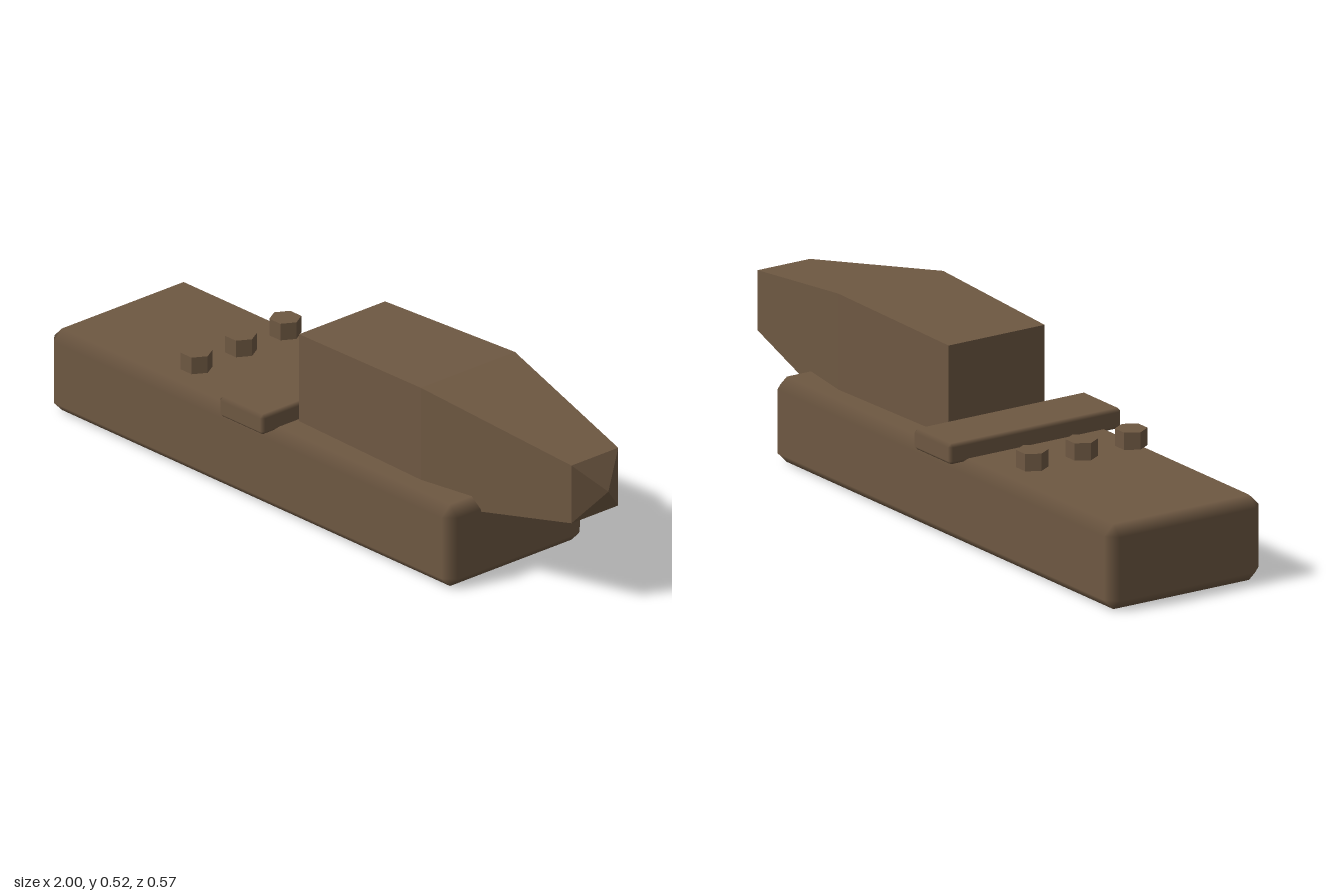
import * as THREE from 'three';
import { ConvexGeometry } from 'three/addons/geometries/ConvexGeometry.js';

// Box with chamfered edges; normals blend across the chamfers
function chamferBox(w, h, d, c) {
  const half = [w / 2, h / 2, d / 2];
  const points = [];
  for (let axis = 0; axis < 3; axis++) {
    for (const sx of [-1, 1]) for (const sy of [-1, 1]) for (const sz of [-1, 1]) {
      const p = [sx, sy, sz].map((s, i) => s * (i === axis ? half[i] : half[i] - c));
      points.push(new THREE.Vector3(...p));
    }
  }
  const geometry = new ConvexGeometry(points);
  const pos = geometry.attributes.position;
  const normal = geometry.attributes.normal;
  for (let i = 0; i < pos.count; i++) {
    const n = [pos.getX(i), pos.getY(i), pos.getZ(i)].map((v, k) =>
      Math.abs(v) > half[k] - c / 2 ? Math.sign(v) : 0);
    normal.setXYZ(i, ...n);
  }
  return geometry;
}

export function createModel() {
  const group = new THREE.Group();
  const brown = new THREE.MeshStandardMaterial({ color: 0x6e5842 });
  brown.name = 'brown';

  function add(name, geometry, x, y, z) {
    const mesh = new THREE.Mesh(geometry, brown);
    mesh.name = name;
    mesh.position.set(x, y, z);
    group.add(mesh);
  }

  // Long chamfered base
  add('base', chamferBox(1.635, 0.246, 0.514, 0.031), -0.1825, 0.125, 0);

  // Band across the base
  add('band', chamferBox(0.18, 0.06, 0.574, 0.01), -0.18, 0.268, 0);

  // Square tapered body lying along x: [x, half width]
  const profile = [[-0.08, 0], [-0.08, 0.16], [0.43, 0.175], [0.945, 0.087], [1, 0]];
  const lathe = new THREE.LatheGeometry(
    profile.map(([x, r]) => new THREE.Vector2(r * Math.SQRT2, x)), 4, Math.PI / 4);
  const body = lathe.toNonIndexed();
  body.computeVertexNormals();
  body.rotateZ(-Math.PI / 2);
  add('taperedBody', body, 0, 0.35, 0);

  // Row of hexagonal studs
  for (const z of [-0.165, 0, 0.165]) {
    const stud = new THREE.CylinderGeometry(0.045, 0.045, 0.05, 6).toNonIndexed();
    stud.computeVertexNormals();
    stud.rotateY(Math.PI / 6);
    add('stud', stud, -0.49, 0.297, z);
  }

  return group;
}
